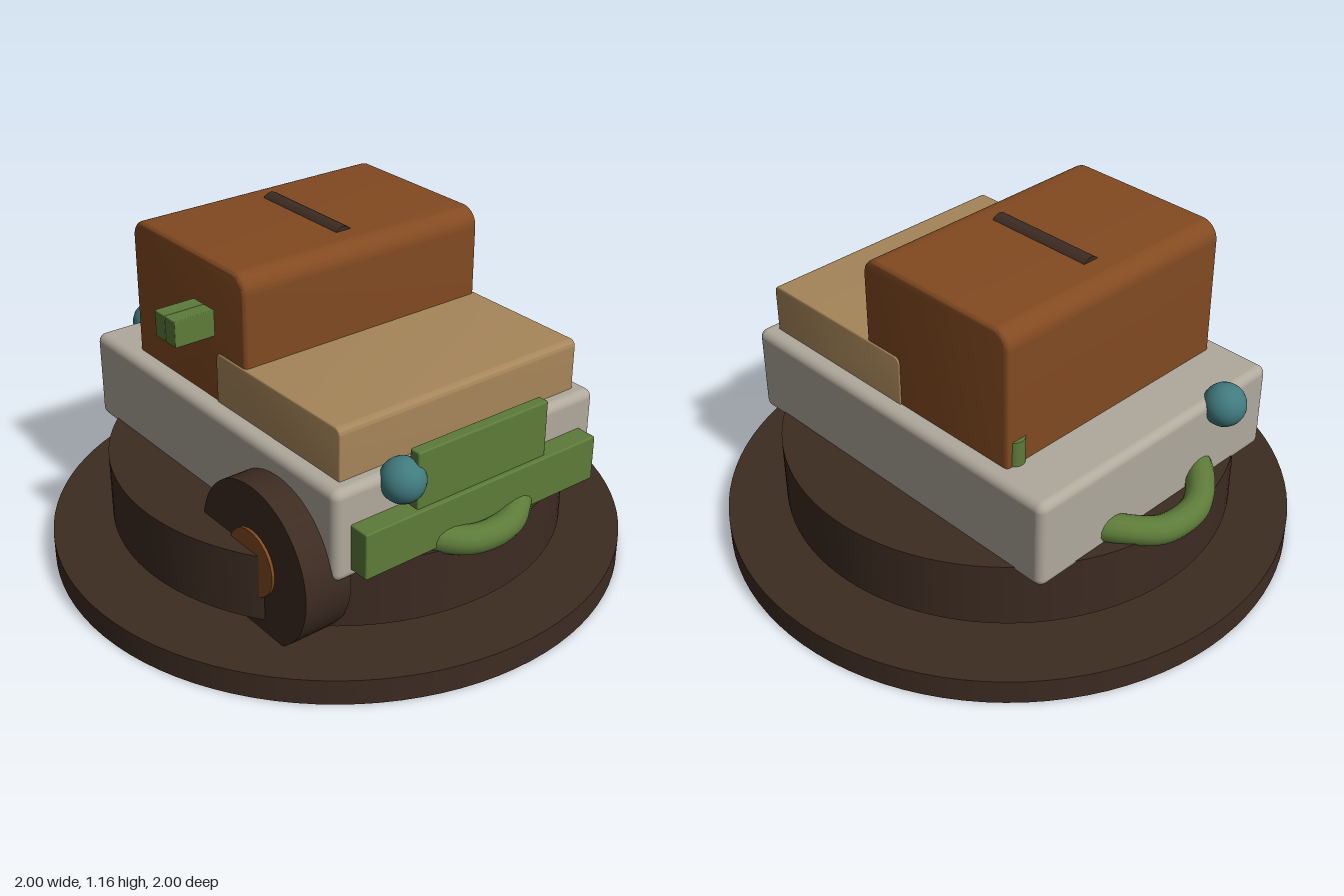
import * as THREE from 'three';
import { RoundedBoxGeometry } from 'three/addons/geometries/RoundedBoxGeometry.js';
import { toCreasedNormals } from 'three/addons/utils/BufferGeometryUtils.js';

function material(name, color) {
  const m = new THREE.MeshStandardMaterial({ color });
  m.name = name;
  return m;
}

// Box with rounded edges along z and a fine bevel on its front and back
function roundedPrism(x0, x1, y0, y1, z0, z1, r, bevel) {
  const a = x0 + bevel, b = x1 - bevel, c = y0 + bevel, d = y1 - bevel;
  const s = new THREE.Shape();
  s.moveTo(a + r, c);
  s.lineTo(b - r, c);
  s.absarc(b - r, c + r, r, -Math.PI / 2, 0);
  s.absarc(b - r, d - r, r, 0, Math.PI / 2);
  s.absarc(a + r, d - r, r, Math.PI / 2, Math.PI);
  s.absarc(a + r, c + r, r, Math.PI, Math.PI * 1.5);
  const g = new THREE.ExtrudeGeometry(s, {
    depth: z1 - z0 - 2 * bevel, bevelThickness: bevel, bevelSize: bevel,
    bevelSegments: 3, curveSegments: 8,
  });
  g.translate(0, 0, z0 + bevel);
  return toCreasedNormals(g, 0.6);
}

export function createModel() {
  const model = new THREE.Group();
  model.name = 'vehicleOnStand';

  const darkBrown = material('dark brown', 0x3d2c22);
  const stone = material('stone grey', 0xb0a99c);
  const rust = material('rust brown', 0x824a21);
  const tan = material('tan', 0xa7865a);
  const green = material('moss green', 0x5d7b39);
  const teal = material('teal', 0x417b7f);

  function add(name, geometry, mat, x = 0, y = 0, z = 0) {
    const mesh = new THREE.Mesh(geometry, mat);
    mesh.name = name;
    mesh.position.set(x, y, z);
    model.add(mesh);
    return mesh;
  }
  function addBox(name, mat, x0, x1, y0, y1, z0, z1, r = 0.006) {
    const g = new RoundedBoxGeometry(x1 - x0, y1 - y0, z1 - z0, 2, r);
    return add(name, g, mat, (x0 + x1) / 2, (y0 + y1) / 2, (z0 + z1) / 2);
  }

  // Display disc and the drum hovering above it
  add('standDisc', new THREE.CylinderGeometry(1, 1, 0.09, 96), darkBrown, 0, 0.045, 0);
  add('drum', new THREE.CylinderGeometry(0.79, 0.79, 0.235, 96), darkBrown, 0, 0.2525, 0);

  // Hull, cabin and rear deck
  add('hull', new RoundedBoxGeometry(1.38, 0.32, 1.08, 4, 0.03), stone, 0, 0.505, 0);
  add('cabin', roundedPrism(-0.485, 0.16, 0.5, 1.15, -0.48, 0.48, 0.05, 0.014), rust);
  add('deckBox', roundedPrism(0, 0.64, 0.5, 0.84, -0.485, 0.485, 0.018, 0.004), tan);

  // Half-sunken rod on the roof
  const rod = add('roofRod', new THREE.CylinderGeometry(0.037, 0.037, 0.405, 24), darkBrown, -0.1625, 1.128, 0);
  rod.rotation.z = Math.PI / 2;

  // Wheel and its hub
  const wheel = add('wheel', new THREE.CylinderGeometry(0.275, 0.275, 0.17, 48), darkBrown, 0.405, 0.32, 0.555);
  wheel.rotation.x = Math.PI / 2;
  const hub = add('wheelHub', new THREE.CylinderGeometry(0.115, 0.115, 0.17, 32), rust, 0.405, 0.325, 0.565);
  hub.rotation.x = Math.PI / 2;

  // Floating block in front of the cabin, in two halves
  addBox('frontBlock', green, -0.058, -0.0005, 0.93, 1.02, 0.52, 0.665, 0.003);
  addBox('frontBlock', green, -0.0005, 0.057, 0.93, 1.02, 0.52, 0.665, 0.003);

  // Boards on the left side
  addBox('lowerBoard', green, 0.68, 0.763, 0.38, 0.54, -0.48, 0.48);
  addBox('upperBoard', green, 0.705, 0.747, 0.53, 0.735, -0.265, 0.27);

  // Peg beside the cabin
  add('peg', new THREE.CylinderGeometry(0.035, 0.035, 0.155, 20), green, -0.465, 0.6775, -0.43);

  // Mirrored lamps and bent handles
  for (const side of [-1, 1]) {
    add('lamp', new THREE.SphereGeometry(0.074, 24, 16), teal, side * 0.705, 0.635, 0.295);
    const path = new THREE.CatmullRomCurve3([
      [0.6, 0.41, -0.27], [0.7, 0.4, -0.2], [0.783, 0.376, -0.08],
      [0.783, 0.376, 0.08], [0.7, 0.4, 0.2], [0.6, 0.41, 0.27],
    ].map(([x, y, z]) => new THREE.Vector3(side * x, y, z)));
    add('handle', new THREE.TubeGeometry(path, 32, 0.049, 14), green);
  }

  return model;
}
